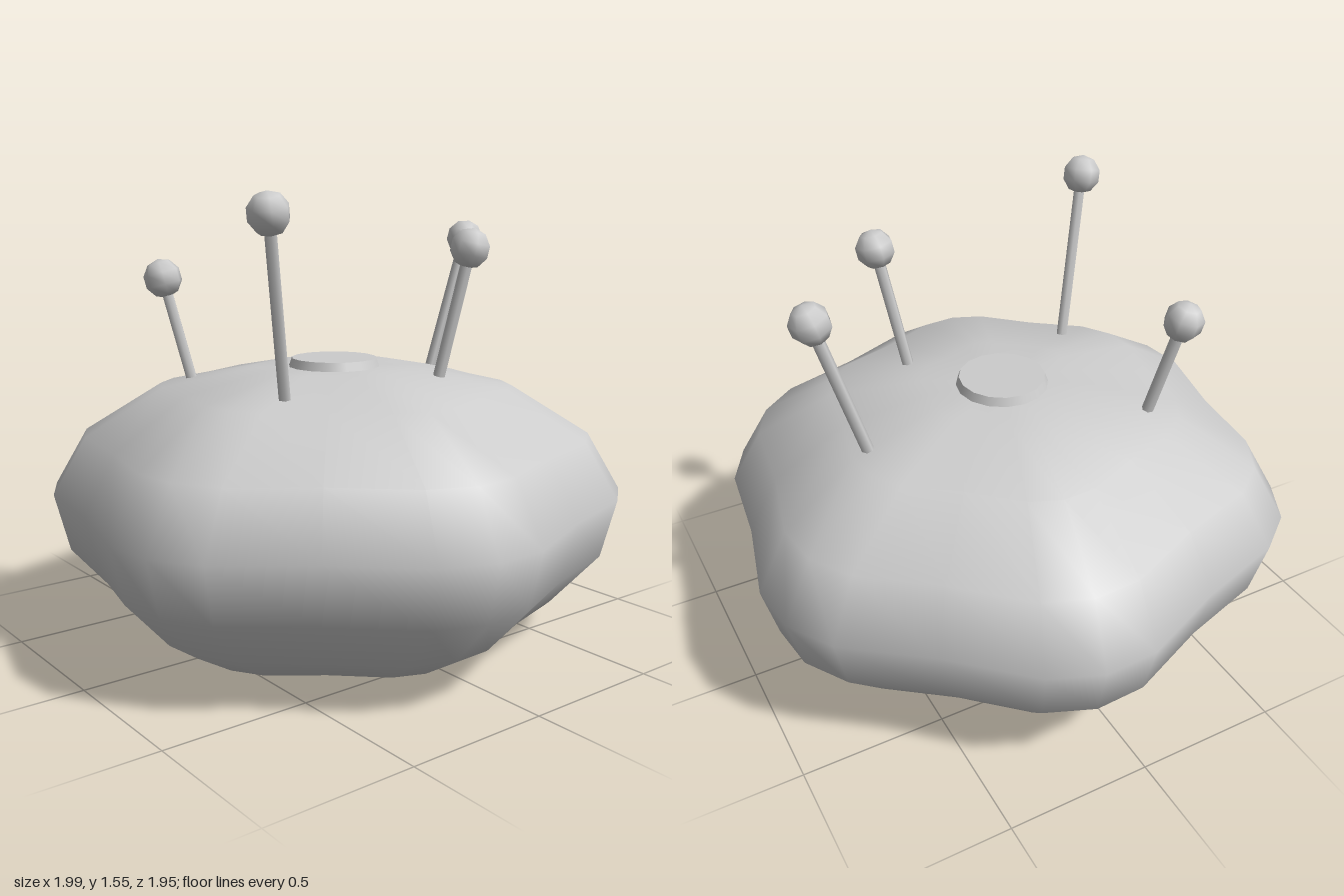
import * as THREE from 'three';

const lightGrey = new THREE.MeshStandardMaterial({ color: 0xcccccc });
lightGrey.name = 'lightGrey';

function part(name, geometry) {
  const mesh = new THREE.Mesh(geometry, lightGrey);
  mesh.name = name;
  return mesh;
}

// Six-lobed cushion: horizontal rings that share one lobed outline
function cushionGeometry() {
  const profile = [ // radius at the lobes, height
    [0, 0], [0.37, 0], [0.625, 0.03], [0.79, 0.13], [0.96, 0.31],
    [1.012, 0.51], [0.895, 0.71], [0.62, 0.88], [0.285, 0.945], [0, 0.945],
  ];
  const lobe = [[-10.5, 0.977], [0, 1], [10.5, 0.977], [30, 0.904]]; // degrees, radius factor
  const outline = [];
  for (let k = 0; k < 6; k++) {
    for (const [offset, factor] of lobe) {
      const angle = THREE.MathUtils.degToRad(10 + 60 * k + offset);
      outline.push([Math.cos(angle) * factor, Math.sin(angle) * factor]);
    }
  }

  const positions = [], index = [];
  const n = outline.length, last = profile.length - 1;
  // one vertex at each pole, a full ring elsewhere
  const vertex = (i, j) => (i === 0 ? 0 : i === last ? 1 + (last - 1) * n : 1 + (i - 1) * n + (j % n));
  profile.forEach(([r, y]) => {
    if (r === 0) positions.push(0, y, 0);
    else for (const [x, z] of outline) positions.push(x * r, y, z * r);
  });
  for (let i = 0; i < last; i++) {
    for (let j = 0; j < n; j++) {
      const a = vertex(i, j), b = vertex(i + 1, j), c = vertex(i + 1, j + 1), d = vertex(i, j + 1);
      if (i < last - 1) index.push(a, b, c);
      if (i > 0) index.push(a, c, d);
    }
  }
  const geometry = new THREE.BufferGeometry();
  geometry.setAttribute('position', new THREE.Float32BufferAttribute(positions, 3));
  geometry.setIndex(index);
  geometry.computeVertexNormals();
  return geometry;
}

// Pin: thin straight shaft with a faceted round head, leaning from base to tip
function createPin(base, tip) {
  const from = new THREE.Vector3(...base), to = new THREE.Vector3(...tip);
  const length = from.distanceTo(to), sunk = 0.06;
  const pin = new THREE.Group();
  pin.name = 'pin';
  const shaft = part('pinShaft', new THREE.CylinderGeometry(0.021, 0.021, length + sunk, 6));
  shaft.position.y = (length - sunk) / 2;
  const head = part('pinHead', new THREE.SphereGeometry(0.069, 7, 5));
  head.position.y = length;
  pin.add(shaft, head);
  pin.position.copy(from);
  pin.quaternion.setFromUnitVectors(new THREE.Vector3(0, 1, 0), to.sub(from).normalize());
  return pin;
}

export function createModel() {
  const model = new THREE.Group();
  model.name = 'pinCushion';
  model.add(part('cushion', cushionGeometry()));

  // Flat button in the middle of the top
  const button = part('button', new THREE.CylinderGeometry(0.15, 0.168, 0.05, 16));
  button.position.set(-0.005, 0.95, 0);
  model.add(button);

  // Four pins: base, head centre
  const pins = [
    [[-0.09, 0.89, -0.54], [-0.06, 1.375, -0.68]],
    [[0.30, 0.92, -0.22], [0.37, 1.36, -0.29]],
    [[0.26, 0.90, 0.40], [0.365, 1.48, 0.525]],
    [[-0.33, 0.90, 0.39], [-0.39, 1.25, 0.46]],
  ];
  for (const [base, tip] of pins) model.add(createPin(base, tip));
  return model;
}
